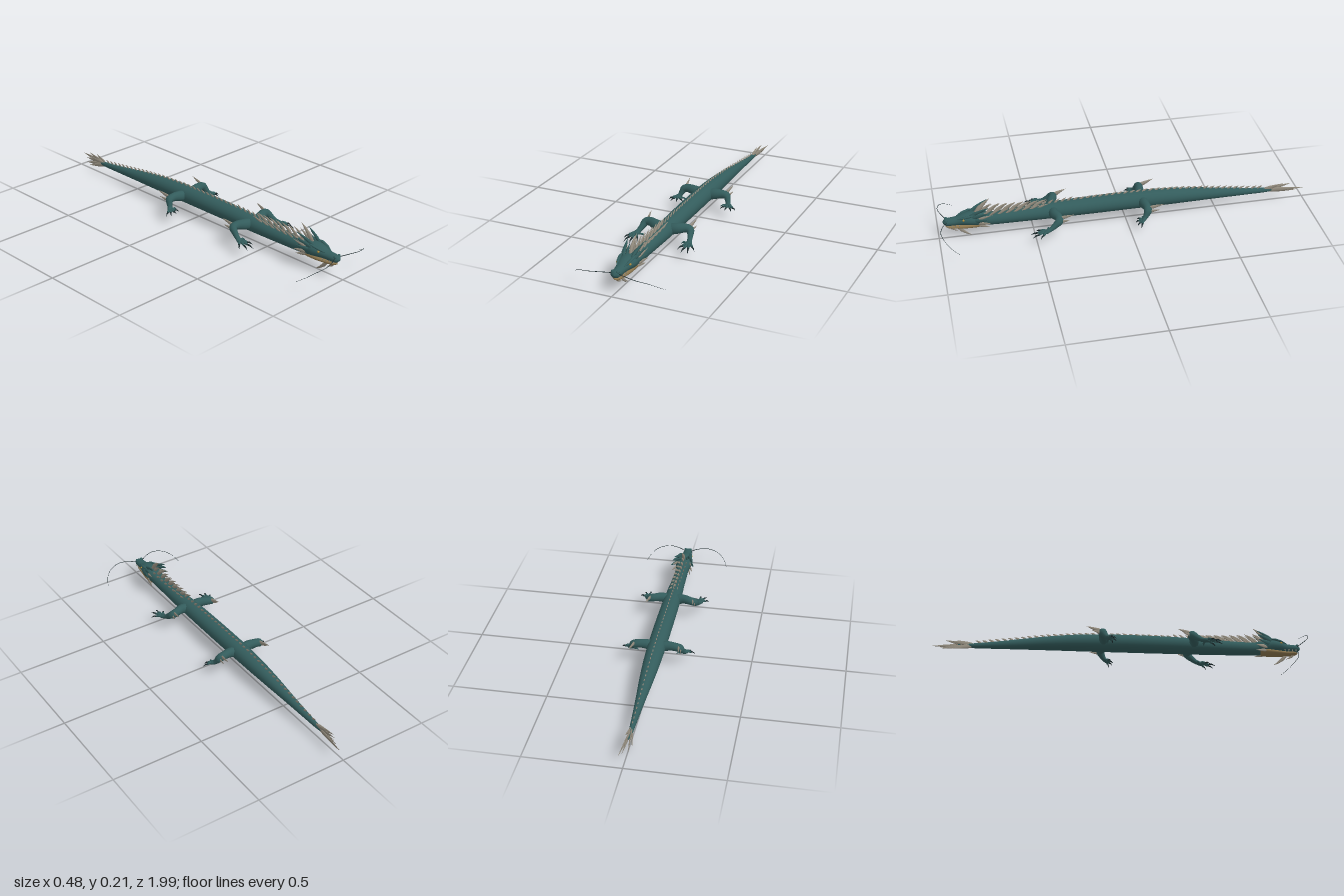
import * as THREE from 'three';
import { mergeGeometries } from 'three/addons/utils/BufferGeometryUtils.js';

const mat = (name, color) => {
  const m = new THREE.MeshStandardMaterial({ color });
  m.name = name;
  return m;
};

// Loft of elliptical rings [x, y, z, rx, ry] along a path; ref steers the roll
function sweep(rings, sides = 12, ref = [0, 1, 0]) {
  const pos = [], idx = [], n = rings.length;
  const P = rings.map(r => new THREE.Vector3(r[0], r[1], r[2]));
  const up = new THREE.Vector3(...ref);
  for (let i = 0; i < n; i++) {
    const t = P[Math.min(i + 1, n - 1)].clone().sub(P[Math.max(i - 1, 0)]).normalize();
    const s = up.clone().cross(t).normalize();
    const u = t.clone().cross(s);
    for (let j = 0; j < sides; j++) {
      const a = j / sides * Math.PI * 2;
      const v = P[i].clone().addScaledVector(s, Math.cos(a) * rings[i][3]).addScaledVector(u, Math.sin(a) * rings[i][4]);
      pos.push(v.x, v.y, v.z);
      if (i < n - 1) {
        const A = i * sides + j, B = i * sides + (j + 1) % sides;
        idx.push(A, B, A + sides, B, B + sides, A + sides);
      }
    }
  }
  for (let j = 1; j < sides - 1; j++) {
    const e = (n - 1) * sides;
    idx.push(0, j + 1, j, e, e + j, e + j + 1);
  }
  const g = new THREE.BufferGeometry();
  g.setAttribute('position', new THREE.Float32BufferAttribute(pos, 3));
  g.setIndex(idx);
  g.computeVertexNormals();
  return g;
}

// Smoothly resampled rings
function smooth(rings, count) {
  const a = new THREE.CatmullRomCurve3(rings.map(r => new THREE.Vector3(r[0], r[1], r[2])));
  const b = new THREE.CatmullRomCurve3(rings.map(r => new THREE.Vector3(r[3], r[4], 0)));
  return Array.from({ length: count + 1 }, (_, i) => {
    const p = a.getPoint(i / count), q = b.getPoint(i / count);
    return [p.x, p.y, p.z, Math.max(q.x, 0.0005), Math.max(q.y, 0.0005)];
  });
}

// Flattened blade from base to tip, bowed by an offset in y
function spike(b, t, w, d, bow = 0) {
  const at = (k, s) => [0, 1, 2].map(i => b[i] + (t[i] - b[i]) * k + (i === 1 ? bow * 4 * k * (1 - k) : 0)).concat(w * s, d * s);
  return sweep([at(0, 0.8), at(0.3, 1), at(0.65, 0.6), at(1, 0.02)], 6, [1, 0, 0]);
}

export function createModel() {
  const root = new THREE.Group();
  root.name = 'dragon';
  const teal = mat('teal scales', 0x335c5c);
  const pale = mat('pale fins', 0x958e80);
  const tan = mat('tan jaw', 0x8c764e);
  const dark = mat('dark claws', 0x1d2b2d);
  const gold = mat('amber eyes', 0xb08a3a);
  const add = (name, geo, m, parent = root) => {
    const mesh = new THREE.Mesh(Array.isArray(geo) ? mergeGeometries(geo) : geo, m);
    mesh.name = name;
    parent.add(mesh);
  };

  // Long body: z, top, bottom, half width
  const profile = [[-0.86, 0.072, 0.064, 0.004], [-0.8, 0.077, 0.053, 0.011], [-0.7, 0.087, 0.052, 0.016],
    [-0.55, 0.107, 0.053, 0.025], [-0.4, 0.127, 0.054, 0.036], [-0.25, 0.142, 0.054, 0.044], [-0.1, 0.149, 0.054, 0.048],
    [0.1, 0.149, 0.054, 0.049], [0.3, 0.145, 0.054, 0.048], [0.45, 0.138, 0.054, 0.045], [0.6, 0.13, 0.055, 0.039],
    [0.72, 0.126, 0.057, 0.036], [0.8, 0.128, 0.064, 0.034]];
  add('body', sweep(smooth(profile.map(([z, t, b, w]) => [0, (t + b) / 2, z, w, (t - b) / 2]), 60), 24), teal);
  const topAt = z => {
    const i = Math.max(1, profile.findIndex(p => p[0] >= z));
    const [a, b] = [profile[i - 1], profile[i]];
    return a[1] + (b[1] - a[1]) * (z - a[0]) / (b[0] - a[0]);
  };

  // Back ridge, growing toward the head
  const ridge = [];
  for (let z = -0.74; z < 0.5; z += 0.034) {
    const h = z > 0.3 ? 0.022 : 0.012, y = topAt(z);
    ridge.push(spike([0, y - 0.004, z], [0, y + h, z - 0.03], 0.007, 0.0025, 0.003));
  }
  add('backRidge', ridge, pale);

  // Mane of long blades behind the head
  const mane = [];
  for (let i = 0; i < 8; i++) {
    const z = 0.79 - i * 0.042, y = topAt(z) - 0.005, h = 0.06 - i * 0.0035;
    mane.push(spike([0, y, z], [0, y + h, z - 0.075], 0.01, 0.005, 0.006));
    for (const s of [-1, 1]) mane.push(spike([s * 0.015, y - 0.004, z - 0.02], [s * (0.03 - i * 0.001), y + h * 0.6, z - 0.08], 0.007, 0.003, 0.004));
  }
  mane.push(spike([0, 0.135, 0.8], [0, 0.213, 0.725], 0.014, 0.009, 0.006));
  add('mane', mane, pale);

  // Head: cranium, muzzle and rounded nose
  const head = new THREE.Group();
  head.name = 'head';
  root.add(head);
  add('skull', sweep(smooth([[0, 0.095, 0.72, 0.03, 0.03], [0, 0.1, 0.77, 0.042, 0.037], [0, 0.106, 0.82, 0.047, 0.036],
    [0, 0.106, 0.86, 0.04, 0.031], [0, 0.1, 0.9, 0.028, 0.023], [0, 0.098, 0.94, 0.025, 0.021],
    [0, 0.098, 0.962, 0.022, 0.018], [0, 0.097, 0.974, 0.006, 0.005]], 24), 18), teal, head);
  add('lowerJaw', sweep(smooth([[0, 0.078, 0.74, 0.022, 0.014], [0, 0.073, 0.79, 0.036, 0.018], [0, 0.069, 0.85, 0.032, 0.015],
    [0, 0.068, 0.91, 0.022, 0.011], [0, 0.071, 0.945, 0.018, 0.009], [0, 0.073, 0.96, 0.004, 0.003]], 18), 14), tan, head);

  const horns = [], cheeks = [], brows = [], teeth = [];
  for (const s of [-1, 1]) {
    // Horns and dark frill sweeping back
    horns.push(spike([s * 0.022, 0.13, 0.83], [s * 0.046, 0.183, 0.73], 0.01, 0.008, 0.004),
      spike([s * 0.034, 0.122, 0.82], [s * 0.058, 0.155, 0.735], 0.011, 0.006, 0.004),
      spike([s * 0.04, 0.108, 0.81], [s * 0.066, 0.122, 0.74], 0.012, 0.005),
      spike([s * 0.014, 0.135, 0.81], [s * 0.03, 0.165, 0.74], 0.008, 0.006));
    cheeks.push(spike([s * 0.036, 0.115, 0.79], [s * 0.054, 0.142, 0.715], 0.008, 0.004),
      spike([s * 0.038, 0.09, 0.79], [s * 0.06, 0.095, 0.725], 0.01, 0.004),
      spike([s * 0.03, 0.075, 0.79], [s * 0.048, 0.066, 0.73], 0.009, 0.004));
    brows.push(sweep([[s * 0.02, 0.117, 0.9, 0.002, 0.002], [s * 0.029, 0.127, 0.87, 0.008, 0.006],
      [s * 0.035, 0.136, 0.835, 0.008, 0.006], [s * 0.036, 0.14, 0.8, 0.001, 0.001]], 8));
    for (let i = 0; i < 4; i++) teeth.push(spike([s * (0.02 + i * 0.002), 0.086, 0.95 - i * 0.02], [s * (0.021 + i * 0.002), 0.072, 0.948 - i * 0.02], 0.003, 0.002));
    add('nostril', new THREE.SphereGeometry(0.008, 10, 8).translate(s * 0.014, 0.112, 0.957), teal, head);
    add('eye', new THREE.SphereGeometry(0.006, 12, 8).translate(s * 0.035, 0.117, 0.868), gold, head);
    // Long curved whisker
    const path = new THREE.CatmullRomCurve3([[0.018, 0.103, 0.955], [0.06, 0.109, 0.978], [0.12, 0.108, 0.993], [0.18, 0.095, 0.977],
      [0.22, 0.07, 0.945], [0.239, 0.044, 0.908]].map(p => new THREE.Vector3(s * p[0], p[1], p[2])));
    const rings = path.getPoints(24).map((p, i) => [p.x, p.y, p.z, 0.0018 - i * 0.00005, 0.0018 - i * 0.00005]);
    add('whisker', sweep(rings, 6), dark, head);
  }
  add('horns', horns, teal, head);
  add('cheekFins', cheeks, pale, head);
  add('brows', brows, teal, head);
  add('teeth', teeth, pale, head);
  // Chin barbs
  add('beard', [spike([0, 0.062, 0.9], [0, 0, 0.825], 0.009, 0.004, -0.008), spike([0, 0.064, 0.94], [0, 0.036, 0.895], 0.006, 0.003, -0.004)], pale, head);

  // Tail fan: tip x, y, z, base z
  add('tailFan', [[0.022, 0.068, -1, -0.8], [0.006, 0.095, -0.93, -0.79], [-0.012, 0.04, -0.93, -0.79], [-0.024, 0.036, -0.89, -0.78],
    [0.012, 0.052, -0.96, -0.8], [-0.014, 0.084, -0.9, -0.77], [0.012, 0.1, -0.87, -0.77]].map(([x, y, z, b]) =>
    spike([x * 0.15, 0.065, b], [x, y, z], 0.013, 0.004)), pale);

  // Legs: limb, toes, claws and elbow fins; reach scales the stride along z
  function leg(name, s, z0, reach) {
    const g = new THREE.Group();
    g.name = name;
    root.add(g);
    const Z = z => z0 + z * reach;
    add('limb', sweep(smooth([[s * 0.02, 0.1, Z(0), 0.03, 0.028], [s * 0.06, 0.109, Z(-0.002), 0.028, 0.025],
      [s * 0.1, 0.112, Z(-0.018), 0.023, 0.022], [s * 0.125, 0.106, Z(-0.018), 0.021, 0.022],
      [s * 0.135, 0.088, Z(0.004), 0.015, 0.017], [s * 0.143, 0.072, Z(0.03), 0.013, 0.012],
      [s * 0.15, 0.064, Z(0.055), 0.017, 0.01], [s * 0.152, 0.06, Z(0.07), 0.006, 0.005]], 24), 12, [s * 0.2, 0.3, 1]), teal, g);
    const toes = [], claws = [];
    for (const [dx, dz] of [[-0.032, 0.045], [-0.006, 0.072], [0.022, 0.066], [0.038, 0.035]]) {
      const at = (k, y, r) => [s * (0.15 + dx * k), y, Z(0.05 + dz * k), r, r * 0.9];
      toes.push(sweep([at(0, 0.062, 0.008), at(0.35, 0.068, 0.008), at(0.6, 0.064, 0.007), at(0.75, 0.058, 0.004)], 8));
      claws.push(sweep([at(0.68, 0.061, 0.005), at(0.95, 0.06, 0.004), at(1.25, 0.049, 0.0004)], 6));
    }
    // Inner rear toe
    toes.push(sweep([[s * 0.142, 0.063, Z(0.045), 0.007, 0.006], [s * 0.115, 0.062, Z(0.04), 0.005, 0.005], [s * 0.1, 0.052, Z(0.045), 0.0005, 0.0005]], 8));
    add('toes', toes, teal, g);
    add('claws', claws, dark, g);
    add('elbowFin', [spike([s * 0.118, 0.115, Z(-0.02)], [s * 0.13, 0.137, z0 - 0.095], 0.011, 0.005),
      spike([s * 0.128, 0.1, Z(-0.02)], [s * 0.14, 0.112, z0 - 0.07], 0.009, 0.004)], pale, g);
  }
  for (const s of [-1, 1]) {
    const side = s > 0 ? 'Left' : 'Right';
    leg('front' + side + 'Leg', s, 0.395, 1);
    leg('rear' + side + 'Leg', s, -0.09, 0.45);
  }
  return root;
}
